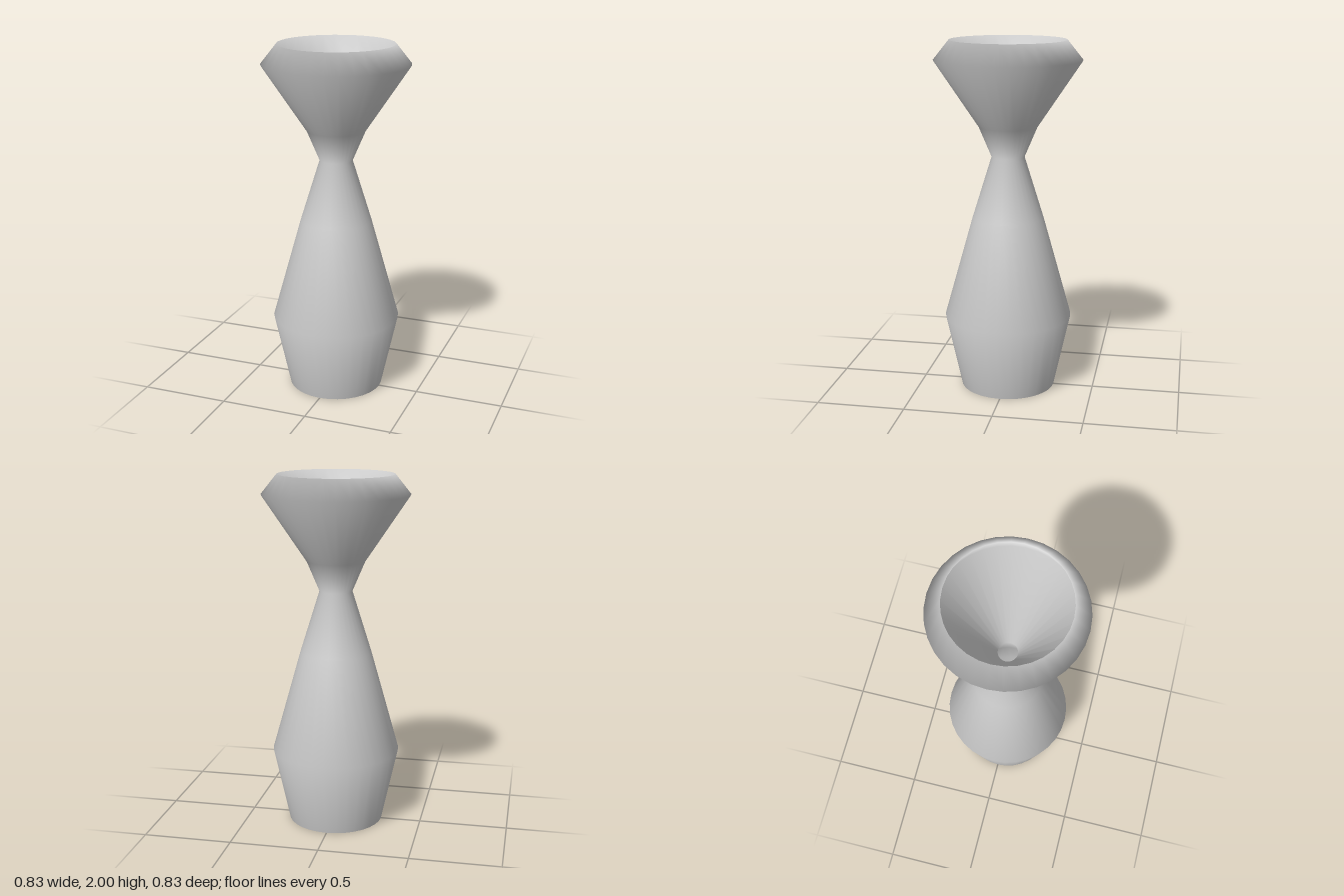
import * as THREE from 'three';

const SEGMENTS = 32;

export function createModel() {
  const group = new THREE.Group();
  group.name = 'vase';
  const material = new THREE.MeshStandardMaterial({ color: 0xcccccc });

  const add = (name, geometry) => {
    const mesh = new THREE.Mesh(geometry, material);
    mesh.name = name;
    group.add(mesh);
    return mesh;
  };

  // Hollow wall: up the outside, over the sharp lip, down the inside
  const profile = [
    [0.27, 0], [0.363, 0.425], [0.202, 1.0], [0.093, 1.35],
    [0.165, 1.52], [0.413, 1.89], [0.325, 2.0],
    [0.37, 1.87], [0.055, 1.35], [0.165, 1.0], [0.325, 0.43], [0.24, 0.04],
  ].map(([r, y]) => new THREE.Vector2(r, y));
  add('wall', new THREE.LatheGeometry(profile, SEGMENTS));

  // Flat underside
  const base = add('base', new THREE.CircleGeometry(0.27, SEGMENTS));
  base.rotation.x = Math.PI / 2;

  // Floor inside the hollow body
  const floor = add('innerFloor', new THREE.CircleGeometry(0.24, SEGMENTS));
  floor.rotation.x = -Math.PI / 2;
  floor.position.y = 0.04;

  return group;
}
